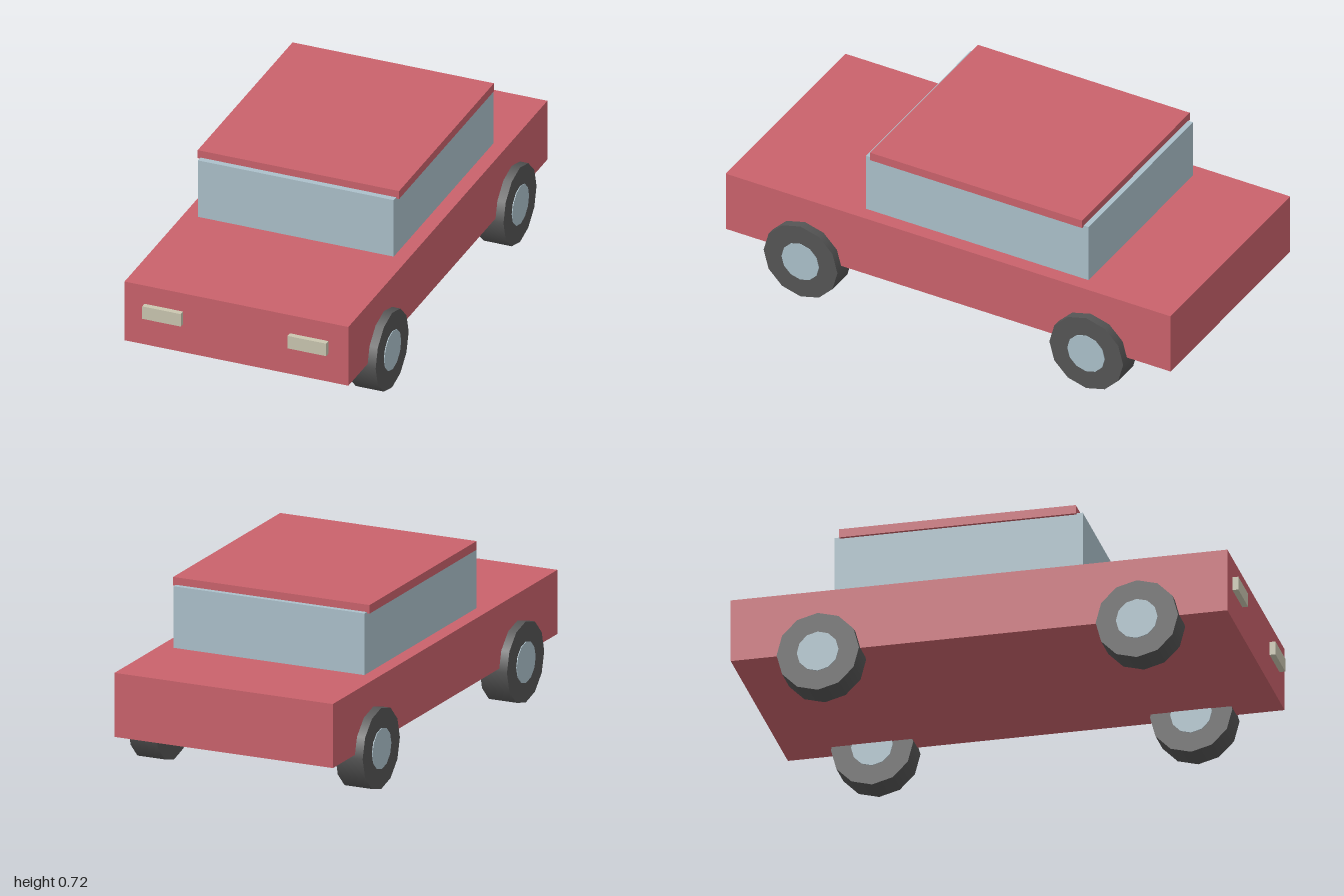
import * as THREE from 'three';

export function createModel() {
  const mat = (name, color) => {
    const m = new THREE.MeshStandardMaterial({ color });
    m.name = name;
    return m;
  };
  const red = mat('red paint', 0xc9626b);
  const glass = mat('pale blue glass', 0xabc0ca);
  const rubber = mat('dark rubber', 0x555555);
  const cream = mat('cream lamp', 0xcac6b0);

  const car = new THREE.Group();
  car.name = 'car';

  // Box given by its limits on each axis
  const box = (name, material, [x0, x1], [y0, y1], [z0, z1]) => {
    const mesh = new THREE.Mesh(new THREE.BoxGeometry(x1 - x0, y1 - y0, z1 - z0), material);
    mesh.position.set((x0 + x1) / 2, (y0 + y1) / 2, (z0 + z1) / 2);
    mesh.name = name;
    car.add(mesh);
  };

  // Body, window band and overhanging roof
  box('body', red, [-0.47, 0.47], [0.178, 0.437], [-1, 0.977]);
  box('cabinWindows', glass, [-0.411, 0.411], [0.43, 0.686], [-0.602, 0.387]);
  box('roof', red, [-0.423, 0.423], [0.681, 0.716], [-0.58, 0.362]);

  // Headlights
  box('leftHeadlight', cream, [0.224, 0.386], [0.302, 0.357], [0.97, 1]);
  box('rightHeadlight', cream, [-0.386, -0.224], [0.302, 0.357], [0.97, 1]);

  // Wheels: twelve-sided tyre with a hub just proud of both faces
  const tyreGeo = new THREE.CylinderGeometry(0.164, 0.164, 0.118, 12).rotateZ(Math.PI / 2);
  const hubGeo = new THREE.CylinderGeometry(0.083, 0.083, 0.124, 12).rotateZ(Math.PI / 2);
  for (const [end, z] of [['front', 0.625], ['rear', -0.645]]) {
    for (const [side, s] of [['Left', 1], ['Right', -1]]) {
      const wheel = new THREE.Group();
      wheel.name = `${end}${side}Wheel`;
      const tyre = new THREE.Mesh(tyreGeo, rubber);
      tyre.name = 'tyre';
      const hub = new THREE.Mesh(hubGeo, glass);
      hub.name = 'hub';
      wheel.add(tyre, hub);
      wheel.position.set(s * 0.446, 0.165, z);
      car.add(wheel);
    }
  }
  return car;
}
